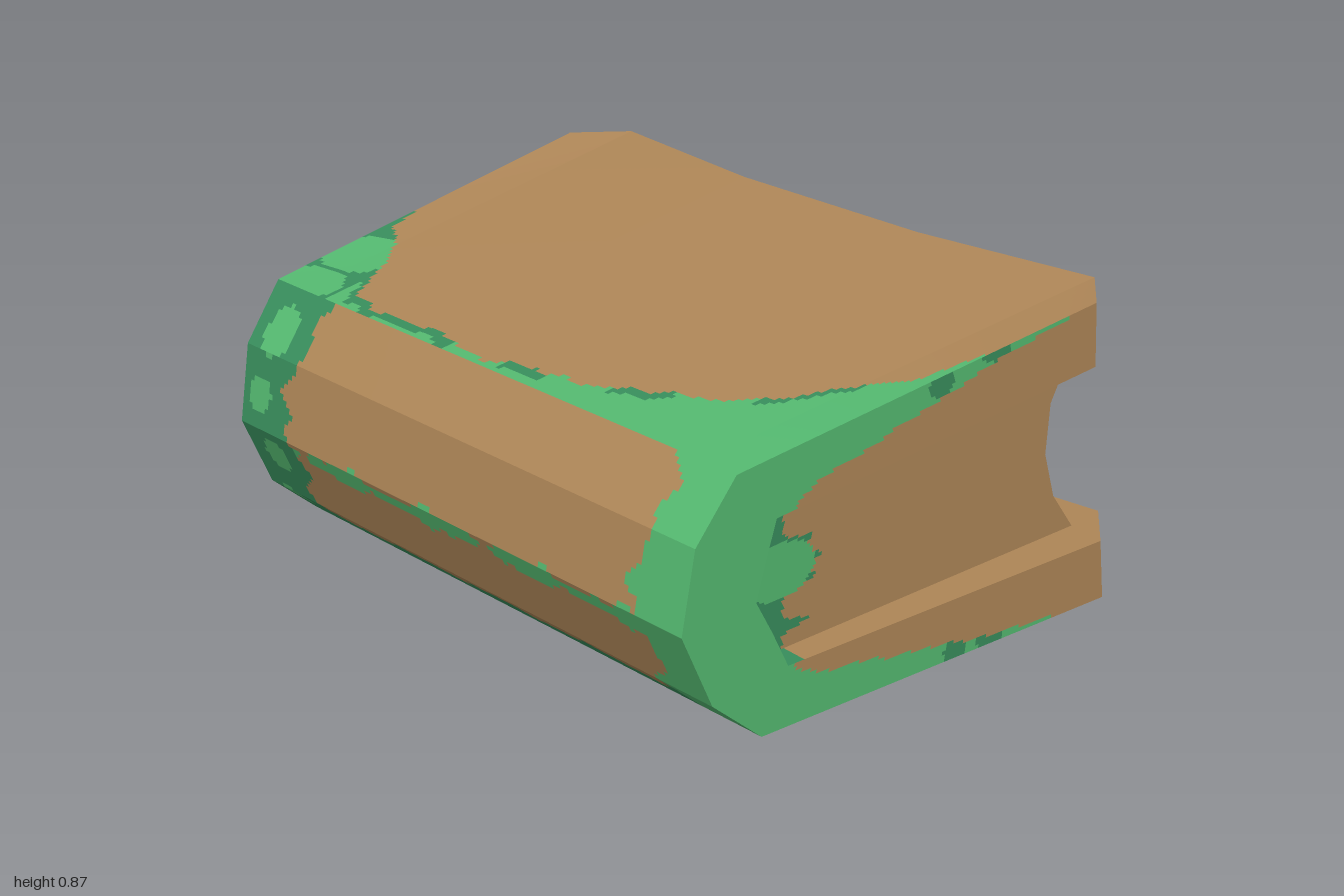
import * as THREE from 'three';

const BROWN = 0, GREEN = 1, DARK = 2;
const V = (x, y, z) => new THREE.Vector3(x, y, z);

// Piecewise linear lookup in [[key, value], ...]
function lookup(table, k) {
  for (let i = 1; i < table.length; i++) {
    const [k0, v0] = table[i - 1], [k1, v1] = table[i];
    if (k <= k1) return v0 + (v1 - v0) * Math.max(0, (k - k0) / (k1 - k0));
  }
  return table[table.length - 1][1];
}

// Smooth wobble that makes the moss outline ragged
const wobble = (a, b) => Math.sin(a * 17 + b * 5) * 0.5 + Math.sin(a * 41 - b * 13) * 0.3 + Math.sin(a * 67 + 1) * 0.2;
const inSpot = (x, y, spots) => spots.some(([cx, cy, rx, ry = rx]) => ((x - cx) / rx) ** 2 + ((y - cy) / ry) ** 2 < 1);

// Collects flat patches, split into small cells sorted by colour
class Painter {
  constructor() { this.tris = [[], [], []]; }
  // Corners run counter-clockwise seen from outside; paint(point, u, v) returns a colour
  patch(a, b, c, d, paint, cell = 0.016) {
    const fine = typeof paint === 'function';
    const steps = (p, q, r, s) => fine ? Math.max(1, Math.ceil(Math.max(p.distanceTo(q), r.distanceTo(s)) / cell)) : 1;
    const nu = steps(a, b, d, c), nv = steps(a, d, b, c);
    const at = (u, v) => a.clone().lerp(b, u).lerp(d.clone().lerp(c, u), v);
    for (let i = 0; i < nu; i++) for (let j = 0; j < nv; j++) {
      const u = (i + 0.5) / nu, v = (j + 0.5) / nv;
      const colour = fine ? paint(at(u, v), u, v) : paint;
      const p = at(i / nu, j / nv), q = at((i + 1) / nu, j / nv);
      const r = at((i + 1) / nu, (j + 1) / nv), s = at(i / nu, (j + 1) / nv);
      for (const k of [p, q, r, p, r, s]) this.tris[colour].push(k.x, k.y, k.z);
    }
  }
  mesh(name, materials) {
    const geometry = new THREE.BufferGeometry();
    geometry.setAttribute('position', new THREE.Float32BufferAttribute(this.tris.flat(), 3));
    let start = 0;
    this.tris.forEach((t, i) => {
      if (t.length) geometry.addGroup(start, t.length / 3, i);
      start += t.length / 3;
    });
    geometry.computeVertexNormals();
    const mesh = new THREE.Mesh(geometry, materials);
    mesh.name = name;
    return mesh;
  }
}

// Cover profile (x, y), from the top fore edge round the spine to the bottom fore edge
const outer = [[0.68, 0.86], [-0.61, 0.72], [-0.73, 0.57], [-0.77, 0.355], [-0.68, 0.145], [-0.53, 0.01], [0.77, 0.01]];
const inner = [[0.69, 0.685], [-0.49, 0.575], [-0.52, 0.48], [-0.55, 0.375], [-0.5, 0.28], [-0.45, 0.175], [0.75, 0.18]];
// Stations along the book: fraction of the half length, fore edge shift
const stations = [[-1, -0.14], [-0.87, 0], [-0.33, -0.065], [0.33, -0.065], [0.87, 0], [1, -0.14]];
const coverPoint = ([x, y], [t, shift]) => {
  const px = x > 0 ? x + shift : x;
  return V(px, y, t * (0.87 + (px + 0.77) * 0.093));
};

// Hollow fore edge of the page block
const foreEdge = [[0.58, 0.672], [0.52, 0.56], [0.51, 0.42], [0.55, 0.29], [0.63, 0.178]];
const pageStations = [[-1, 0], [-0.35, -0.06], [0.35, -0.06], [1, 0]];
const pagePoint = ([x, y], [t, shift]) => V(x + shift, y, t * (0.825 + 0.055 * (x + 0.5)));

// Moss limits: how far in x the moss reaches at each z, or across the cover thickness
const topLimit = [[-1, 0.25], [-0.95, -0.02], [-0.9, -0.2], [-0.8, -0.25], [-0.7, -0.42], [-0.62, -0.56], [0, -0.57],
  [0.2, -0.53], [0.5, -0.43], [0.65, -0.33], [0.8, -0.15], [0.9, -0.02], [0.95, 0.15], [1, 0.4]];
const bottomLimit = [[-1, 0.3], [-0.85, 0.05], [-0.6, -0.2], [0, -0.3], [0.6, -0.18], [0.85, 0.05], [1, 0.3]];
const endLimit = [[0, -0.43], [0.3, -0.38], [0.45, -0.16], [0.6, -0.05], [0.8, 0.15], [1, 0.48]];
const topSpots = [[-0.57, -0.8, 0.09, 0.11], [-0.37, -0.82, 0.11, 0.12], [-0.71, -0.77, 0.04, 0.07]];
const endSpots = [[-0.68, 0.4, 0.035], [-0.6, 0.6, 0.04], [-0.56, 0.14, 0.03], [-0.35, 0.66, 0.04], [-0.3, 0.07, 0.03], [-0.66, 0.25, 0.025]];

function paintTop({ x, z }) {
  const depth = lookup(topLimit, z) + 0.025 * wobble(z, 0) - x;
  if (depth < 0) return BROWN;
  if (z < -0.68) return inSpot(x, z, topSpots) ? GREEN : DARK;
  if (z < -0.3 && depth < 0.025) return DARK;
  return depth < 0.035 && Math.sin(z * 19) > 0.2 ? DARK : GREEN;
}

function paintBottom({ x, z }) {
  const depth = lookup(bottomLimit, z) + 0.04 * wobble(z, 1) - x;
  if (depth < 0) return BROWN;
  return depth < 0.09 && Math.sin(z * 13) > 0 ? DARK : GREEN;
}

function paintSpine({ y, z }) {
  const end = z > 0 ? 0.71 : 0.66;
  if (Math.abs(z) > end + 0.05 * wobble(y, z > 0 ? 2 : 0))
    return z > 0 || inSpot(z, y, [[-0.77, 0.62, 0.06], [-0.8, 0.45, 0.05], [-0.76, 0.28, 0.05], [-0.8, 0.12, 0.04]]) ? GREEN : DARK;
  // Streaks of moss along the ridges
  if (Math.abs(y - 0.33) < 0.02 + 0.02 * wobble(z, 3)) return GREEN;
  if (y < 0.09 + 0.03 * wobble(z, 4)) return DARK;
  return BROWN;
}

function paintEnd({ x, y, z }, u, v) {
  const depth = lookup(endLimit, v) + 0.035 * wobble(x, v * 0.3) - x;
  if (depth < 0) return BROWN;
  if (z < 0) return inSpot(x, y, endSpots) ? GREEN : DARK;
  return inSpot(x, y, [[0.02, 0.78, 0.04], [0.1, 0.03, 0.04], [0.22, 0.03, 0.05, 0.03], [0.2, 0.81, 0.05, 0.02]]) ? DARK : GREEN;
}

function paintPageEnd({ x, y, z }) {
  const light = z > 0 ? [[-0.41, 0.385, 0.115, 0.075]] : [[-0.42, 0.4, 0.035], [-0.36, 0.3, 0.03], [-0.44, 0.5, 0.025]];
  if (inSpot(x, y, light)) return GREEN;
  const spike = Math.max(0, Math.sin(y * 58 + 0.6)) ** 3;
  const streak = Math.abs(y - 0.395) < 0.006 ? 0.12 : 0;
  return x < -0.4 + 0.12 * spike * (1 - Math.abs(y - 0.38) * 2) + streak ? DARK : BROWN;
}

export function createModel() {
  const materials = [['agedLeather', 0xae8657], ['moss', 0x54b970], ['deepMoss', 0x388d5c]].map(([name, color]) => {
    const m = new THREE.MeshStandardMaterial({ color });
    m.name = name;
    return m;
  });
  const cover = new Painter(), ends = new Painter(), pages = new Painter();

  // Cover: closed profile carried along the stations
  const loop = [...outer, ...[...inner].reverse()];
  loop.forEach((p, i) => {
    const q = loop[(i + 1) % loop.length];
    let paint = BROWN;
    if (i === 0) paint = paintTop;
    else if (i < 5) paint = paintSpine;
    else if (i === 5) paint = paintBottom;
    else if (i > 7 && i < 11 + 1) paint = DARK;
    if (i === 7 || i === 12) paint = ({ x }) => x < -0.42 ? DARK : BROWN;
    for (let j = 0; j < stations.length - 1; j++) {
      const s = stations[j], t = stations[j + 1];
      cover.patch(coverPoint(p, s), coverPoint(q, s), coverPoint(q, t), coverPoint(p, t), paint, i === 7 || i === 12 ? 0.06 : 0.016);
    }
  });

  // Cover thickness at both ends
  for (const s of [stations[0], stations[5]]) for (let i = 0; i < 6; i++) {
    const [m, n] = s[0] > 0 ? [i + 1, i] : [i, i + 1];
    ends.patch(coverPoint(inner[m], s), coverPoint(inner[n], s), coverPoint(outer[n], s), coverPoint(outer[m], s), paintEnd, 0.012);
  }

  // Page block: two ends and the hollow fore edge
  const back = inner.slice(1, 6);
  for (let k = 0; k < 4; k++) {
    const f = pageStations[3], b = pageStations[0];
    pages.patch(pagePoint(back[k + 1], f), pagePoint(foreEdge[k + 1], f), pagePoint(foreEdge[k], f), pagePoint(back[k], f), paintPageEnd, 0.012);
    pages.patch(pagePoint(foreEdge[k + 1], b), pagePoint(back[k + 1], b), pagePoint(back[k], b), pagePoint(foreEdge[k], b), paintPageEnd, 0.012);
    for (let j = 0; j < 3; j++) {
      const s = pageStations[j], t = pageStations[j + 1];
      pages.patch(pagePoint(foreEdge[k + 1], s), pagePoint(foreEdge[k], s), pagePoint(foreEdge[k], t), pagePoint(foreEdge[k + 1], t), BROWN);
    }
  }

  const book = new THREE.Group();
  book.name = 'book';
  book.add(cover.mesh('cover', materials), ends.mesh('coverEnds', materials), pages.mesh('pages', materials));
  book.rotation.x = -0.009; // slight lean
  const model = new THREE.Group();
  model.add(book);
  return model;
}
